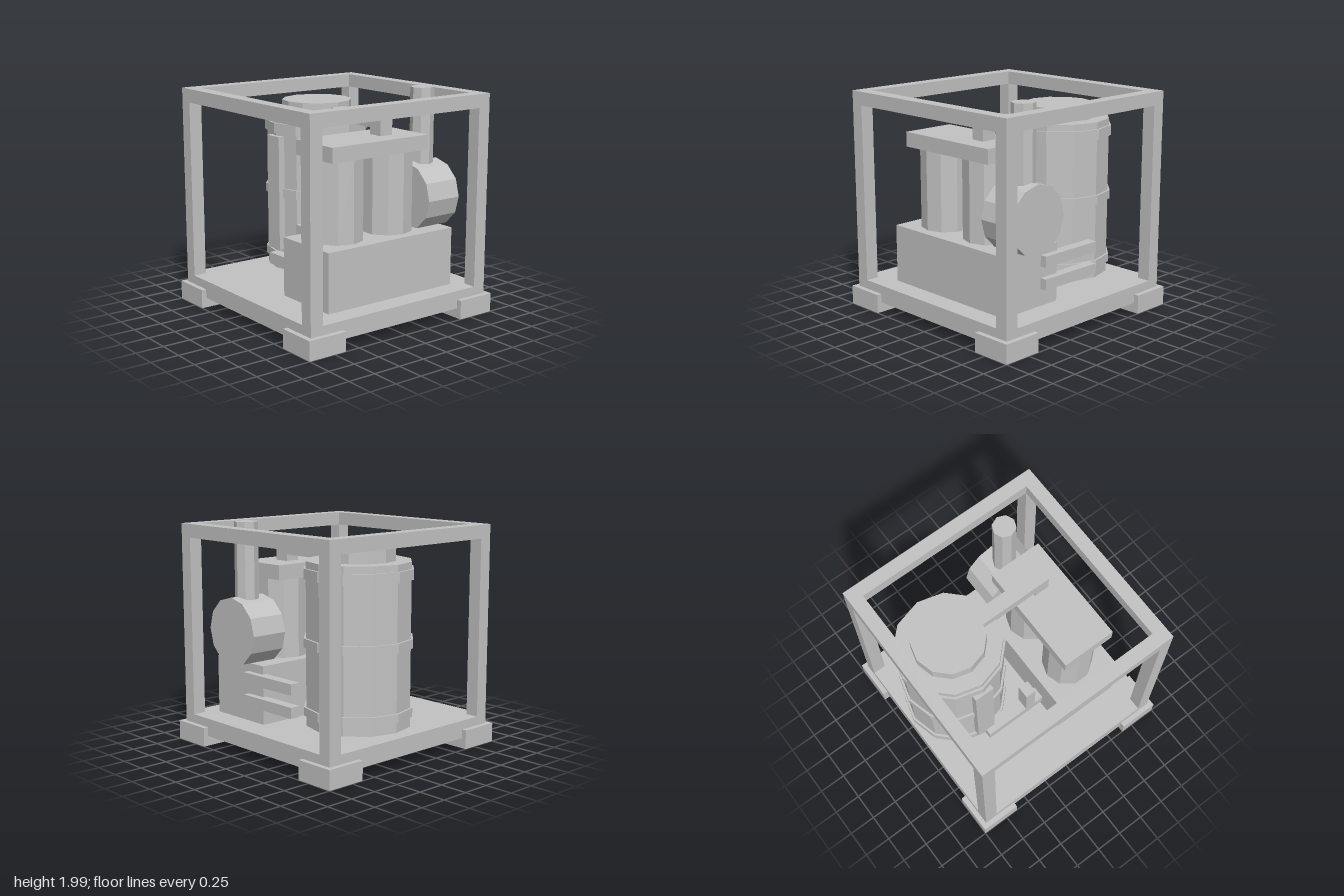
import * as THREE from 'three';

export function createModel() {
  const model = new THREE.Group();
  model.name = 'compressorSkid';
  const metal = new THREE.MeshStandardMaterial({ color: 0xc2c2c2, flatShading: true });
  metal.name = 'grey metal';

  const add = (name, geometry, parent = model) => {
    const mesh = new THREE.Mesh(geometry, metal);
    mesh.name = name;
    parent.add(mesh);
    return mesh;
  };
  const group = (name) => {
    const g = new THREE.Group();
    g.name = name;
    model.add(g);
    return g;
  };
  // Box given by its extents along each axis
  const box = (name, [x0, x1], [y0, y1], [z0, z1], parent) => {
    const mesh = add(name, new THREE.BoxGeometry(x1 - x0, y1 - y0, z1 - z0), parent);
    mesh.position.set((x0 + x1) / 2, (y0 + y1) / 2, (z0 + z1) / 2);
    return mesh;
  };
  // Upright faceted cylinder with a corner pointing along x
  const column = (name, x, z, r, y0, y1, sides, parent) => {
    const geometry = new THREE.CylinderGeometry(r, r, y1 - y0, sides).rotateY(Math.PI / 2);
    const mesh = add(name, geometry, parent);
    mesh.position.set(x, (y0 + y1) / 2, z);
    return mesh;
  };

  // Open frame on a solid base plate, with corner feet
  const frame = group('frame');
  const o = 0.955, i = 0.835;
  box('basePlate', [-o, o], [0.09, 0.25], [-o, o], frame);
  const span = (s, a, b) => (s > 0 ? [a, b] : [-b, -a]);
  for (const sx of [-1, 1]) {
    box('sideTopRail', span(sx, i, o), [1.84, 1.96], [-i, i], frame);
    box('crossTopRail', [-o, o], [1.84, 1.96], span(sx, i, o), frame);
    for (const sz of [-1, 1]) {
      box('post', span(sx, i, o), [0.25, 1.84], span(sz, i, o), frame);
      box('foot', span(sx, 0.635, 1), [0, 0.17], span(sz, 0.635, 1), frame);
    }
  }

  // Banded tank with a cap and a front gauge plate
  const tank = group('tank');
  const tx = -0.47, tz = -0.17;
  column('tankBody', tx, tz, 0.455, 0.29, 1.7, 12, tank);
  column('tankCap', tx, tz, 0.318, 1.7, 1.82, 12, tank);
  for (const [y0, y1] of [[0.38, 0.455], [0.97, 1.05], [1.55, 1.64]]) {
    column('tankBand', tx, tz, 0.475, y0, y1, 12, tank);
  }
  box('gaugePlate', [-0.56, -0.38], [0.485, 1.525], [0.25, 0.32], tank);

  // Crankcase, two cylinders and the shared head
  const pump = group('compressor');
  box('crankcase', [0.135, 0.765], [0.25, 0.77], [-0.725, 0.635], pump);
  for (const z of [0.305, -0.235]) column('cylinder', 0.453, z, 0.227, 0.77, 1.485, 10, pump);
  box('cylinderHead', [0.2, 0.7], [1.485, 1.615], [-0.48, 0.545], pump);

  // Rear drum lying along z, with its stack
  const drum = add('rearDrum', new THREE.CylinderGeometry(0.305, 0.305, 0.35, 12).rotateX(Math.PI / 2));
  drum.position.set(0.453, 1.035, -0.635);
  column('exhaustStack', 0.45, -0.635, 0.105, 1.315, 1.99, 8);

  // Square ducts between tank and compressor
  const ducts = group('ducts');
  box('topDuct', [-0.17, 0.52], [1.675, 1.78], [-0.235, -0.105], ducts);
  box('topDuctDrop', [0.38, 0.52], [1.61, 1.675], [-0.235, -0.105], ducts);
  box('frontDuct', [-0.47, 0.15], [0.35, 0.455], [0.25, 0.37], ducts);
  box('frontValve', [-0.055, 0.045], [0.455, 0.8], [0.25, 0.37], ducts);
  for (const y of [0.4, 0.6]) box('rearDuct', [-0.3, 0.33], [y, y + 0.097], [-0.785, -0.69], ducts);

  return model;
}
